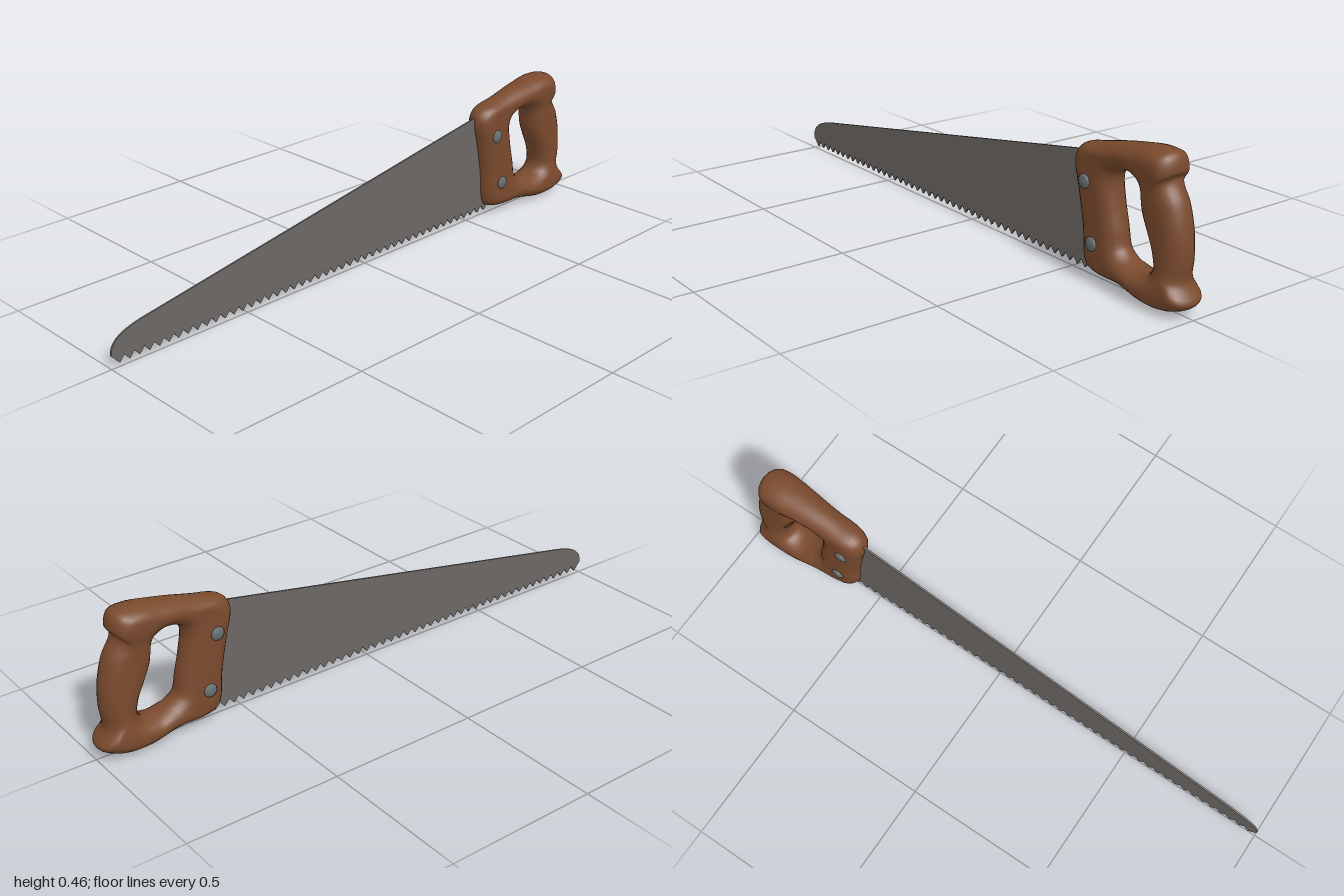
import * as THREE from 'three';

const wood = new THREE.MeshStandardMaterial({ color: 0x7a4a2d });
wood.name = 'brown wood';
const steel = new THREE.MeshStandardMaterial({ color: 0x6b6764 });
steel.name = 'grey steel';
const rivetSteel = new THREE.MeshStandardMaterial({ color: 0x687070 });
rivetSteel.name = 'rivet steel';

// Handle profile: outer edge x, y paired with finger-hole edge x, y (clockwise)
const PROFILE = [
  [0.585, 0.045, 0.728, 0.130], [0.565, 0.170, 0.717, 0.180],
  [0.545, 0.270, 0.700, 0.250], [0.527, 0.365, 0.690, 0.320],
  [0.550, 0.402, 0.700, 0.348], [0.630, 0.425, 0.725, 0.362],
  [0.750, 0.452, 0.750, 0.366], [0.865, 0.466, 0.775, 0.360],
  [0.912, 0.455, 0.790, 0.350], [0.926, 0.410, 0.800, 0.330],
  [0.912, 0.385, 0.805, 0.300], [0.945, 0.325, 0.810, 0.270],
  [0.968, 0.240, 0.830, 0.225], [0.972, 0.160, 0.852, 0.180],
  [0.967, 0.095, 0.862, 0.130], [0.997, 0.045, 0.850, 0.103],
  [0.945, 0.012, 0.825, 0.092], [0.850, 0.002, 0.795, 0.092],
  [0.750, 0.020, 0.770, 0.099], [0.630, 0.025, 0.745, 0.112],
];

// Half thickness: slim at the blade, full at the horns, slimmer at the grip
function halfThickness(x, y) {
  const swell = THREE.MathUtils.smoothstep(x, 0.62, 0.85);
  const grip = THREE.MathUtils.smoothstep(y, 0.05, 0.14) *
    (1 - THREE.MathUtils.smoothstep(y, 0.34, 0.41));
  return 0.049 + swell * (0.015 - 0.011 * grip);
}

// Closed ring of rounded cross-sections running around the finger hole
function handleGeometry() {
  const curve = (k) => new THREE.CatmullRomCurve3(
    PROFILE.map((p) => new THREE.Vector3(p[k], p[k + 1], 0)), true);
  const outer = curve(0), inner = curve(2);
  const around = 120, half = 14, section = half * 2;
  const positions = [], index = [];
  for (let i = 0; i < around; i++) {
    const a = outer.getPoint(i / around), b = inner.getPoint(i / around);
    const width = a.distanceTo(b);
    const radius = Math.min(width / 2, 0.05);
    for (let j = 0; j < section; j++) {
      const angle = (j / section) * Math.PI * 2;
      const s = (1 - Math.cos(angle)) / 2;
      const p = a.clone().lerp(b, s);
      const edge = Math.min(1, (Math.min(s, 1 - s) * width) / radius);
      const rise = Math.sqrt(Math.max(0, 1 - (1 - edge) ** 2));
      const side = j === 0 || j === half ? 0 : j < half ? 1 : -1;
      positions.push(p.x, p.y, side * rise * halfThickness(p.x, p.y));
      const i2 = (i + 1) % around, j2 = (j + 1) % section;
      const v00 = i * section + j, v01 = i * section + j2;
      const v10 = i2 * section + j, v11 = i2 * section + j2;
      index.push(v00, v01, v11, v00, v11, v10);
    }
  }
  const geometry = new THREE.BufferGeometry();
  geometry.setAttribute('position', new THREE.Float32BufferAttribute(positions, 3));
  geometry.setIndex(index);
  // Make the faces point outward whatever the winding of the profile
  geometry.computeVertexNormals();
  if (geometry.attributes.normal.getZ(7) < 0) {
    geometry.setIndex(index.reverse());
    geometry.computeVertexNormals();
  }
  return geometry;
}

// Tapered sheet with a rounded nose and a row of teeth below
function bladeGeometry() {
  const teeth = 46, start = -0.99, end = 0.61, depth = 0.006;
  const pitch = (end - start) / teeth;
  const shape = new THREE.Shape();
  shape.moveTo(start, 0.035);
  for (let i = 0; i < teeth; i++) {
    const x = start + i * pitch;
    shape.lineTo(x + pitch / 2, 0.015);
    shape.lineTo(x + pitch, 0.036);
  }
  shape.lineTo(0.62, 0.06);
  shape.lineTo(0.58, 0.385);
  shape.lineTo(0.53, 0.378);
  shape.lineTo(-0.84, 0.135);
  shape.bezierCurveTo(-0.93, 0.12, -1, 0.105, -1, 0.045);
  const geometry = new THREE.ExtrudeGeometry(shape, { depth, bevelEnabled: false, curveSegments: 12 });
  return geometry.translate(0, 0, -depth / 2);
}

// Low domed rivet head facing +z
function rivetGeometry() {
  const points = [[0.022, -0.02], [0.022, 0.003], [0.018, 0.006], [0.01, 0.008], [0, 0.009]];
  return new THREE.LatheGeometry(points.map(([r, y]) => new THREE.Vector2(r, y)), 16)
    .rotateX(Math.PI / 2);
}

export function createModel() {
  const saw = new THREE.Group();
  saw.name = 'handSaw';
  const add = (name, geometry, material) => {
    const mesh = new THREE.Mesh(geometry, material);
    mesh.name = name;
    saw.add(mesh);
    return mesh;
  };

  add('blade', bladeGeometry(), steel);
  add('handle', handleGeometry(), wood);

  // Two rivets, with a head on each side of the handle
  const head = rivetGeometry();
  [['upper', 0.597, 0.305], ['lower', 0.633, 0.123]].forEach(([name, x, y]) => {
    for (const side of [1, -1]) {
      const rivet = add(name + (side > 0 ? 'FrontRivet' : 'BackRivet'), head, rivetSteel);
      rivet.position.set(x, y, side * 0.049);
      if (side < 0) rivet.rotation.y = Math.PI;
    }
  });
  return saw;
}
